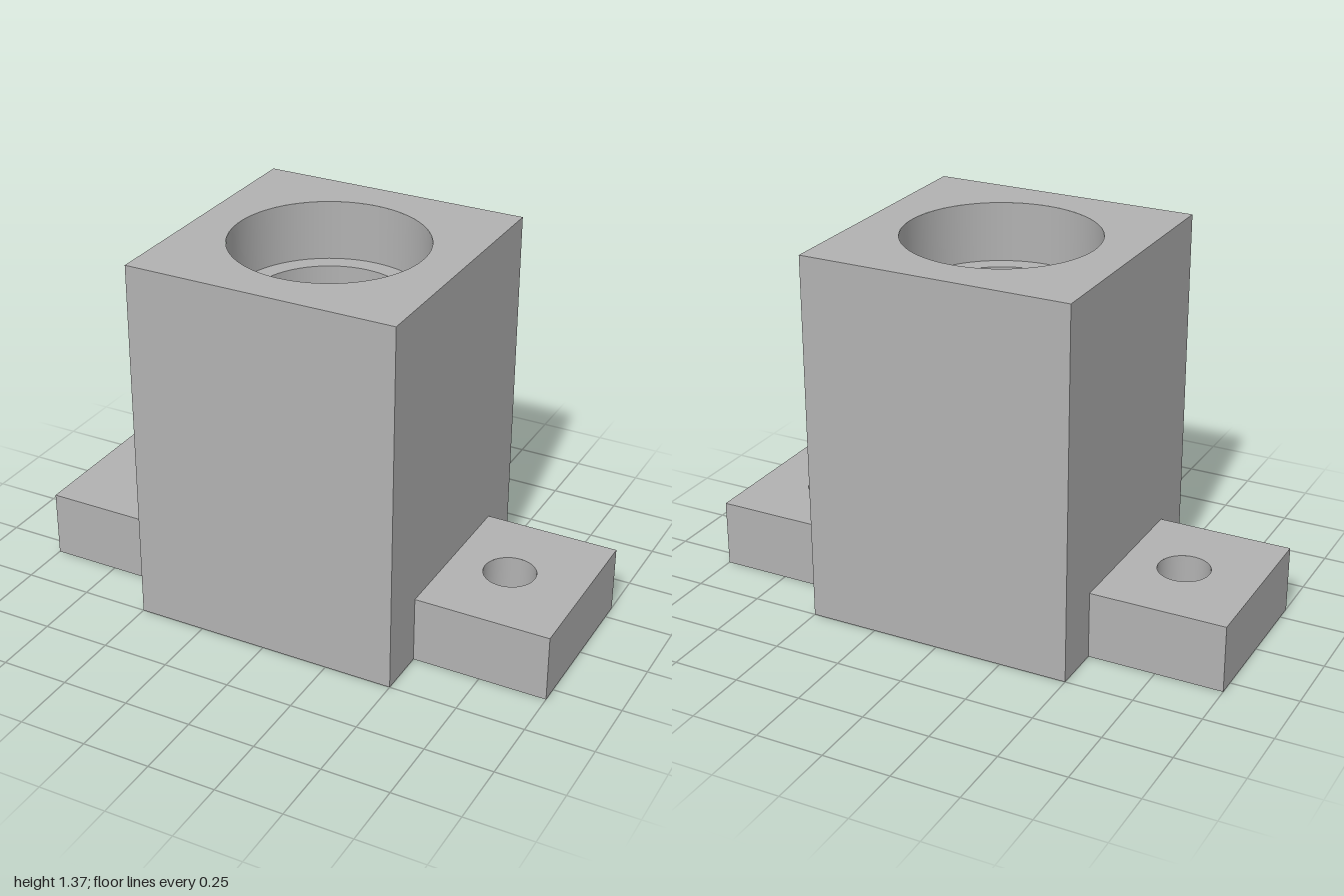
import * as THREE from 'three';
import { mergeGeometries } from 'three/addons/utils/BufferGeometryUtils.js';

const SEGMENTS = 64;

// Rectangular block standing on y = 0, with a vertical bore at x = boreX.
// boreProfile lists [radius, y] from the top of the block to the bottom.
function boredBlock(width, height, depth, boreX, boreProfile) {
  const parts = [];

  // Top and bottom faces with the bore mouth cut out
  const cap = (radius, y, tilt) => {
    const w = width / 2, d = depth / 2;
    const shape = new THREE.Shape();
    shape.moveTo(-w, -d).lineTo(w, -d).lineTo(w, d).lineTo(-w, d).closePath();
    shape.holes.push(new THREE.Path().absarc(boreX, 0, radius, 0, Math.PI * 2, true));
    parts.push(new THREE.ShapeGeometry(shape, SEGMENTS).rotateX(tilt).translate(0, y, 0));
  };
  cap(boreProfile[0][0], height, -Math.PI / 2);
  cap(boreProfile[boreProfile.length - 1][0], 0, Math.PI / 2);

  // Four outer walls
  for (let i = 0; i < 4; i++) {
    const [span, offset] = i % 2 ? [depth, width / 2] : [width, depth / 2];
    parts.push(new THREE.PlaneGeometry(span, height)
      .translate(0, height / 2, offset).rotateY(i * Math.PI / 2));
  }

  // Bore walls and ledges, one ring per step so the edges stay sharp
  for (let i = 0; i < boreProfile.length - 1; i++) {
    const ring = [boreProfile[i], boreProfile[i + 1]].map(([r, y]) => new THREE.Vector2(r, y));
    parts.push(new THREE.LatheGeometry(ring, SEGMENTS).translate(boreX, 0, 0));
  }
  return mergeGeometries(parts);
}

export function createModel() {
  const model = new THREE.Group();
  model.name = 'bearingHousing';
  const grey = new THREE.MeshStandardMaterial({ color: 0xb2b2b2 });
  grey.name = 'grey';

  const add = (name, geometry, x) => {
    const mesh = new THREE.Mesh(geometry, grey);
    mesh.name = name;
    mesh.position.x = x;
    model.add(mesh);
  };

  // Tall body: through bore, counterbored at both ends
  const H = 1.37, step = 0.22, wide = 0.352, narrow = 0.284;
  add('body', boredBlock(1, H, 1, 0, [
    [wide, H], [wide, H - step], [narrow, H - step],
    [narrow, step], [wide, step], [wide, 0],
  ]), 0);

  // Mounting flanges with a bolt hole each
  for (const [name, side] of [['leftFlange', 1], ['rightFlange', -1]]) {
    add(name, boredBlock(0.5, 0.25, 0.626, -0.03 * side, [[0.095, 0.25], [0.095, 0]]), 0.75 * side);
  }
  return model;
}
